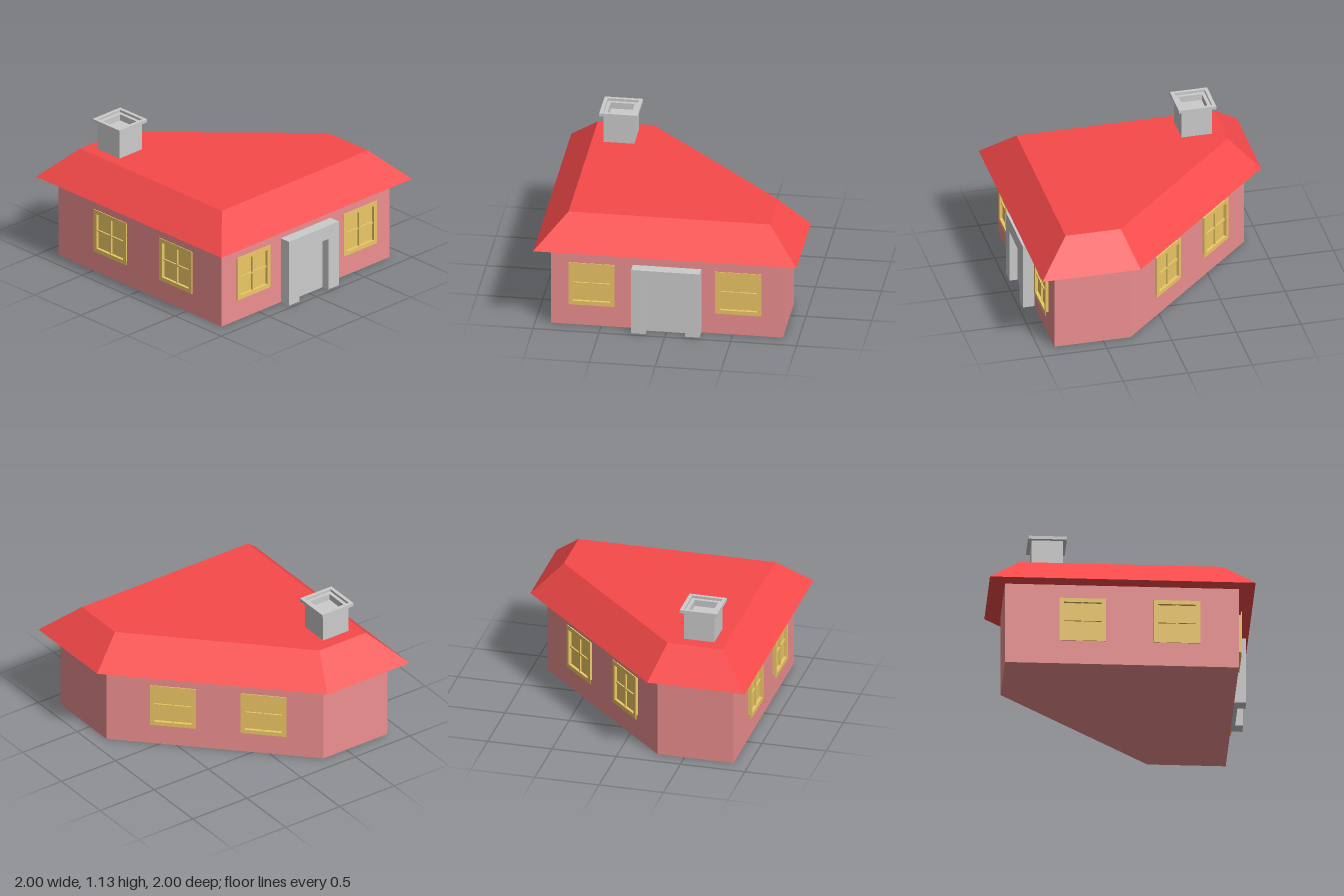
import * as THREE from 'three';
import { ConvexGeometry } from 'three/addons/geometries/ConvexGeometry.js';

const paint = (color) => new THREE.MeshStandardMaterial({ color, flatShading: true });
const WALL_INSET = 0.12, ROOF_INSET = 0.235, EAVE = 0.65, ROOF_TOP = 0.885;

// Five-sided floor plan (square with one corner cut at 45 degrees), inset by d
function plan(d) {
  const h = 1 - d, c = 0.76 - Math.SQRT2 * d;
  return [[-h, h], [h, h], [h, -h], [h - c, -h], [-h, h - c]];
}

function addMesh(parent, name, geometry, material, x = 0, y = 0, z = 0) {
  const mesh = new THREE.Mesh(geometry, material);
  mesh.name = name;
  mesh.position.set(x, y, z);
  parent.add(mesh);
  return mesh;
}

const squarePoints = (s) => [[-s, -s], [s, -s], [s, s], [-s, s]].map(([x, y]) => new THREE.Vector2(x / 2, y / 2));

const extrude = (shape, depth) => new THREE.ExtrudeGeometry(shape, { depth, bevelEnabled: false });

// Square ring facing +z
function squareRing(outer, inner, depth) {
  const shape = new THREE.Shape(squarePoints(outer));
  shape.holes.push(new THREE.Path(squarePoints(inner)));
  return extrude(shape, depth);
}

// Window facing +z, its back on z = 0
function makeWindow(material) {
  const group = new THREE.Group();
  group.name = 'window';
  addMesh(group, 'windowPane', new THREE.BoxGeometry(0.3, 0.3, 0.008), material, 0, 0, 0.003);
  addMesh(group, 'windowSurround', squareRing(0.31, 0.285, 0.025), material);
  addMesh(group, 'windowTrim', squareRing(0.35, 0.285, 0.006), material, 0, 0, 0.024);
  addMesh(group, 'verticalBar', new THREE.BoxGeometry(0.014, 0.286, 0.016), material, 0, 0, 0.012);
  addMesh(group, 'horizontalBar', new THREE.BoxGeometry(0.286, 0.014, 0.014), material, 0, 0, 0.012);
  return group;
}

// Door facing +z, its back on z = 0
function makeDoor(material) {
  const group = new THREE.Group();
  group.name = 'door';
  const arch = [[-0.26, 0], [-0.15, 0], [-0.15, 0.42], [0.15, 0.42], [0.15, 0], [0.26, 0], [0.26, 0.53], [-0.26, 0.53]];
  const shape = new THREE.Shape(arch.map(([x, y]) => new THREE.Vector2(x, y)));
  addMesh(group, 'doorFrame', extrude(shape, 0.09), material);
  addMesh(group, 'doorPanel', new THREE.BoxGeometry(0.3, 0.42, 0.03), material, 0, 0.21, 0.015);
  return group;
}

// Hollow chimney with a stepped cap
function makeChimney(material) {
  const group = new THREE.Group();
  group.name = 'chimney';
  addMesh(group, 'chimneyStack', squareRing(0.235, 0.18, 0.25).rotateX(-Math.PI / 2), material, 0, -0.02, 0);
  addMesh(group, 'chimneyFloor', new THREE.BoxGeometry(0.18, 0.19, 0.18), material, 0, 0.085, 0);
  addMesh(group, 'chimneyCap', squareRing(0.29, 0.235, 0.025).rotateX(-Math.PI / 2), material, 0, 0.225, 0);
  return group;
}

export function createModel() {
  const house = new THREE.Group();
  house.name = 'house';
  const wallPaint = paint(0xee8f8f), roofPaint = paint(0xf84a4a);
  const windowPaint = paint(0xedc866), grey = paint(0xcccccc);

  // Walls
  const floor = new THREE.Shape(plan(WALL_INSET).map(([x, z]) => new THREE.Vector2(x, -z)));
  addMesh(house, 'walls', extrude(floor, EAVE).rotateX(-Math.PI / 2), wallPaint);

  // Hipped roof with a flat top and a flat underside
  const loop = (d, y) => plan(d).map(([x, z]) => new THREE.Vector3(x, y, z));
  addMesh(house, 'roof', new ConvexGeometry([...loop(0, EAVE), ...loop(ROOF_INSET, ROOF_TOP)]), roofPaint);

  // Fix a part to a wall: the wall's heading, its distance from the centre, offset along it
  function mount(part, heading, distance, along, y) {
    const s = Math.sin(heading), c = Math.cos(heading);
    part.position.set(s * distance + c * along, y, c * distance - s * along);
    part.rotation.y = heading;
    house.add(part);
  }

  // Pairs of windows on the front, the door side and the slanted wall
  const side = 1 - WALL_INSET, slant = 0.76 / Math.SQRT2 - WALL_INSET;
  for (const [heading, distance, offsets] of [
    [0, side, [-0.297, 0.413]],
    [Math.PI / 2, side, [-0.57, 0.545]],
    [-Math.PI * 0.75, slant, [-0.315, 0.375]],
  ]) {
    for (const along of offsets) mount(makeWindow(windowPaint), heading, distance, along, 0.355);
  }
  mount(makeDoor(grey), Math.PI / 2, side, 0, 0);

  const chimney = makeChimney(grey);
  chimney.position.set(-0.55, ROOF_TOP, 0.557);
  house.add(chimney);
  return house;
}
